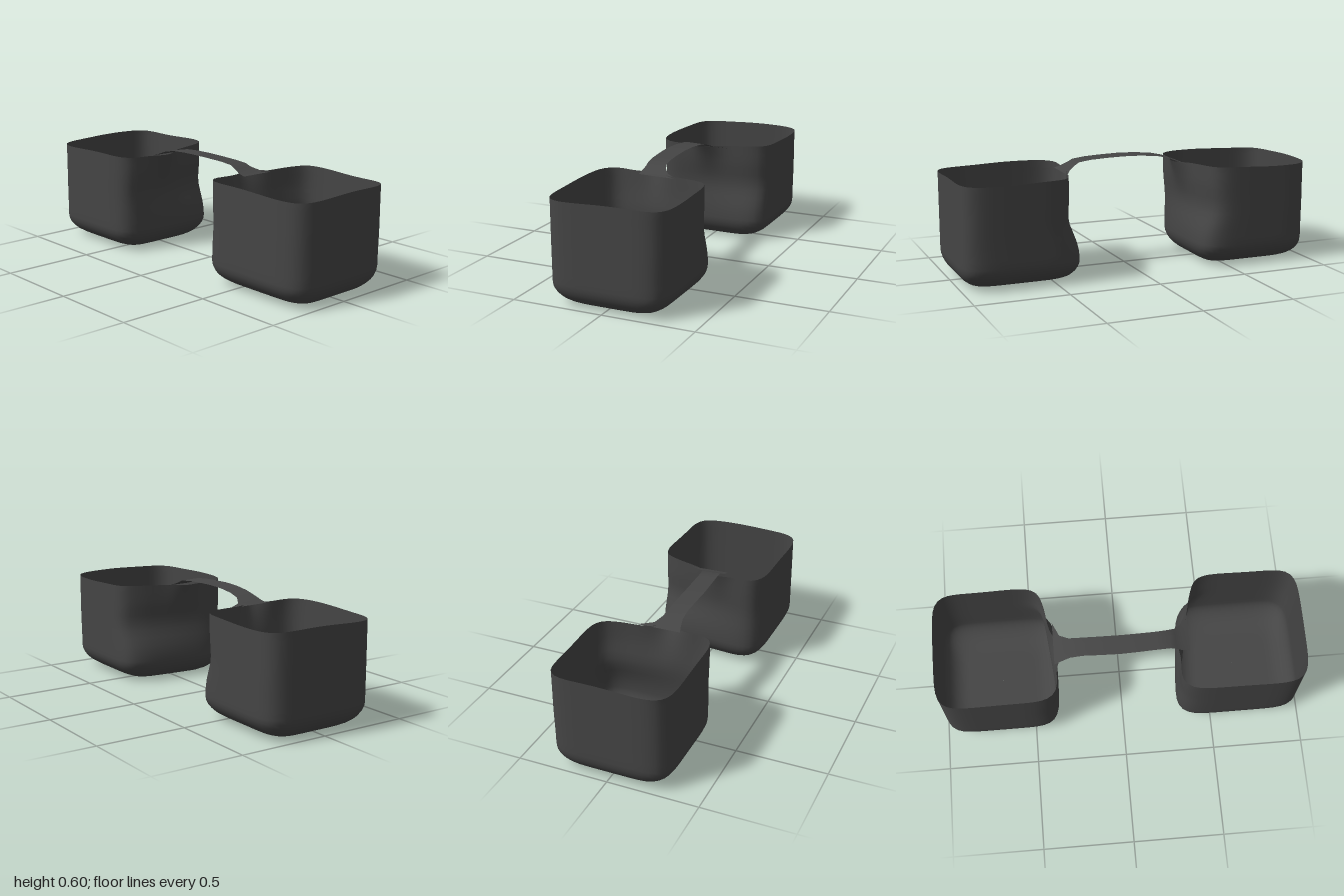
import * as THREE from 'three';

const mix = THREE.MathUtils.lerp;
const clamp = THREE.MathUtils.clamp;

// Surface through a list of equally long rows of points
function loft(rows, closed, flip) {
  const n = rows[0].length, index = [];
  for (let i = 0; i < rows.length - 1; i++) {
    for (let j = 0; j < (closed ? n : n - 1); j++) {
      const k = (j + 1) % n;
      const a = i * n + j, b = i * n + k, c = (i + 1) * n + k, d = (i + 1) * n + j;
      if (flip) index.push(a, b, d, b, c, d);
      else index.push(a, d, b, b, d, c);
    }
  }
  const geo = new THREE.BufferGeometry();
  geo.setAttribute('position', new THREE.Float32BufferAttribute(rows.flat(2), 3));
  geo.setIndex(index);
  geo.computeVertexNormals();
  return geo;
}

// Distance of a bag's inner wall from the middle, at depth z and height y
function innerWall(side, z, y) {
  const back = clamp((0.25 - z) / 0.5, 0, 1);
  const up = THREE.MathUtils.smoothstep(y, 0.1, 0.55);
  const foot = side > 0 ? mix(0.3, 0.345, back) : mix(0.355, 0.35, back);
  const rim = side > 0 ? mix(0.305, 0.405, back) : mix(0.34, 0.395, back);
  const waist = (0.008 + 0.025 * back) * Math.exp(-(((y - 0.32) / 0.1) ** 2));
  const pull = (side > 0 ? 0.035 : 0.05) * Math.exp(-(((z - 0.04) / 0.08) ** 2)) * clamp((y - 0.33) / 0.22, 0, 1) ** 2;
  return mix(foot, rim, up) + waist - pull;
}

// Open pouch with a rounded-square plan and a rounded bottom edge
function bag(side) {
  const levels = []; // [height, inset in x, inset in z, scale]
  for (const s of [0.01, 0.3, 0.6, 0.85]) levels.push([0.002, 0.12, 0.16, s]);
  for (let i = 0; i <= 8; i++) {
    const t = (i / 8) * Math.PI / 2;
    levels.push([0.002 + 0.12 * (1 - Math.cos(t)), 0.12 * (1 - Math.sin(t)), 0.16 * (1 - Math.sin(t)), 1]);
  }
  for (let i = 1; i <= 10; i++) levels.push([mix(0.122, 0.555, i / 10), 0, 0, 1]);

  const N = 80;
  const rows = levels.map(([y, ix, iz, s], level) => {
    const row = [];
    for (let j = 0; j < N; j++) {
      const t = (j / N) * Math.PI * 2, c = Math.cos(t), d = Math.sin(t);
      const r = s / (Math.abs(c) ** 6 + Math.abs(d) ** 6) ** (1 / 6);
      const z = -0.002 + d * r * (0.328 - iz);
      const x = mix(innerWall(side, z, y) + ix, 1 - ix, (c * r + 1) / 2);
      const wave = level === levels.length - 1 ? 0.005 * Math.cos(3 * t + 0.6) : 0;
      row.push([side * x, y + wave, z]);
    }
    return row;
  });
  return loft(rows, true, side < 0);
}

// Thin bridge, flaring where it meets each rim: x, y, front z, back z
function strap() {
  const path = [
    [-0.355, 0.545, 0.12, -0.12], [-0.32, 0.557, 0.11, -0.04], [-0.27, 0.577, 0.1, -0.012],
    [-0.2, 0.592, 0.1, -0.005], [-0.1, 0.6, 0.107, 0], [0, 0.602, 0.11, 0.002], [0.1, 0.6, 0.106, 0],
    [0.2, 0.596, 0.1, -0.004], [0.27, 0.588, 0.095, -0.012], [0.3, 0.572, 0.095, -0.022],
    [0.335, 0.556, 0.1, -0.05], [0.375, 0.545, 0.1, -0.12],
  ];
  const rows = path.map(([x, y, front, back]) =>
    [0, 0.33, 0.67, 1].map((t) => [x, y + 0.004 * (1 - t), mix(front, back, t)]));
  return loft(rows, false, true);
}

export function createModel() {
  const fabric = new THREE.MeshStandardMaterial({ color: 0x454545, side: THREE.DoubleSide });
  fabric.name = 'dark grey fabric';
  const model = new THREE.Group();
  model.name = 'pairOfBags';
  const add = (name, geo) => {
    const mesh = new THREE.Mesh(geo, fabric);
    mesh.name = name;
    model.add(mesh);
  };
  add('leftBag', bag(1));
  add('rightBag', bag(-1));
  add('strap', strap());
  return model;
}
